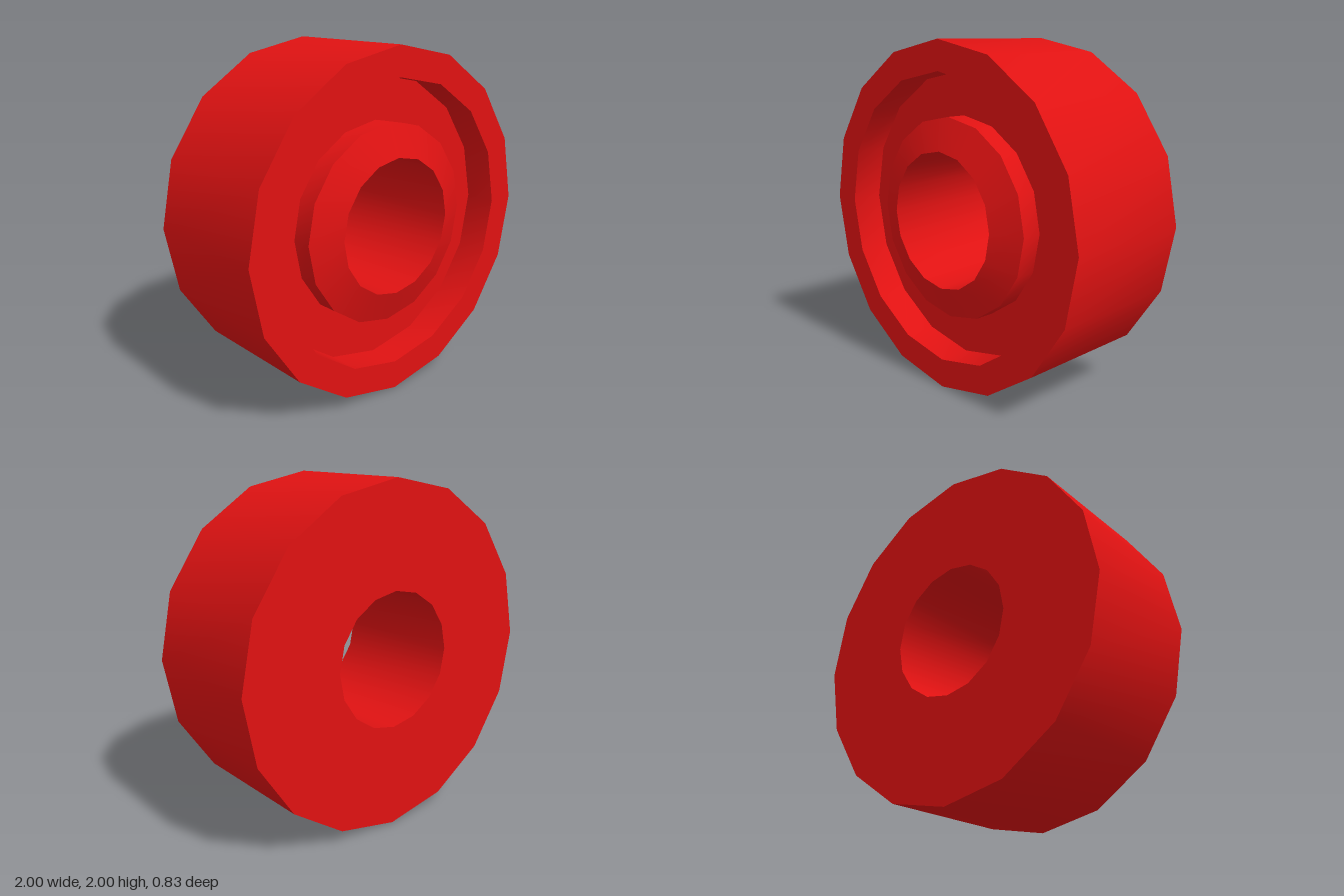
import * as THREE from 'three';
import { toCreasedNormals } from 'three/addons/utils/BufferGeometryUtils.js';

export function createModel() {
  const group = new THREE.Group();
  group.name = 'wheel';

  const half = 0.415; // half the width
  const hole = 0.395, hub = 0.58, rim = 0.83;

  // Closed cross-section: radius, position along the axle
  const profile = [
    [hole, -half],
    [1, -half], // flat back
    [1, half], // tread
    [rim, half], // rim face
    [rim, half - 0.19], // recess wall
    [hub, half - 0.19], // recess floor
    [hub, half - 0.07], // hub wall
    [hole, half], // hub cone
    [hole, -half], // axle hole
  ].map(([r, z]) => new THREE.Vector2(r, z));

  // Sixteen sides, smooth around, sharp at the profile corners
  const lathe = new THREE.LatheGeometry(profile, 16);
  lathe.rotateX(Math.PI / 2);
  const geometry = toCreasedNormals(lathe, Math.PI / 6);

  const material = new THREE.MeshStandardMaterial({ color: 0xe01212 });
  const ring = new THREE.Mesh(geometry, material);
  ring.name = 'wheelRing';
  ring.position.y = 1;
  group.add(ring);

  return group;
}
